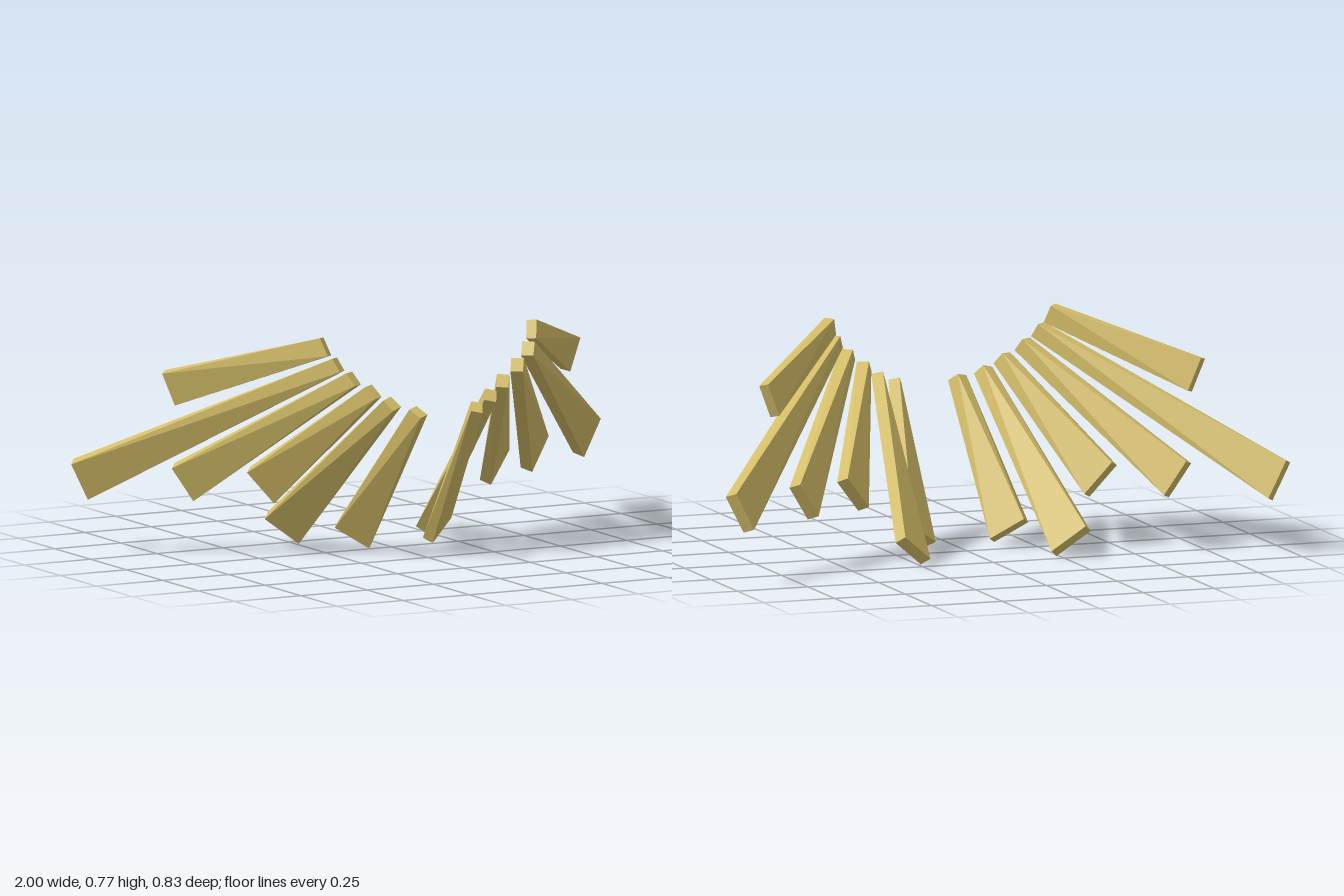
import * as THREE from 'three';
import { ConvexGeometry } from 'three/addons/geometries/ConvexGeometry.js';

const V = (a) => new THREE.Vector3(...a);

// Blades of one side, top to bottom: the outer lower corner and the
// lower-to-upper edge vector at the root and at the tip, plus thickness.
const BLADES = [
  { root: [0.393, 0.712, 0.279], rootEdge: [0.016, 0.058, -0.025], tip: [0.746, 0.515, -0.133], tipEdge: [0.043, 0.109, -0.009], thick: 0.034 },
  { root: [0.365, 0.661, 0.312], rootEdge: [0.017, 0.043, -0.022], tip: [0.936, 0.177, -0.387], tipEdge: [0.063, 0.124, 0], thick: 0.042 },
  { root: [0.317, 0.613, 0.328], rootEdge: [0.018, 0.040, -0.027], tip: [0.639, 0.176, -0.201], tipEdge: [0.072, 0.113, -0.018], thick: 0.042 },
  { root: [0.252, 0.566, 0.347], rootEdge: [0.020, 0.038, -0.031], tip: [0.409, 0.170, -0.064], tipEdge: [0.086, 0.106, -0.030], thick: 0.041 },
  { root: [0.194, 0.525, 0.368], rootEdge: [0.020, 0.032, -0.033], tip: [0.240, 0.002, -0.204], tipEdge: [0.105, 0.085, -0.043], thick: 0.040 },
  { root: [0.117, 0.501, 0.414], rootEdge: [0.021, 0.026, -0.038], tip: [0.120, 0.015, 0.064], tipEdge: [0.100, 0.069, -0.055], thick: 0.038 },
];

// Tapered slab: a rectangle across the axis at each end, joined by flat faces
function bladeGeometry({ root, rootEdge, tip, tipEdge, thick }, side) {
  const points = [];
  const axis = V(tip).addScaledVector(V(tipEdge), 0.5).sub(V(root)).addScaledVector(V(rootEdge), -0.5);
  for (const [corner, edge] of [[root, rootEdge], [tip, tipEdge]]) {
    const inward = V(edge).cross(axis).setLength(thick);
    for (const up of [0, 1]) for (const depth of [0, 1]) {
      const p = V(corner).addScaledVector(V(edge), up).addScaledVector(inward, depth);
      p.x *= side;
      points.push(p);
    }
  }
  return new ConvexGeometry(points);
}

export function createModel() {
  const model = new THREE.Group();
  model.name = 'bladeFan';
  const material = new THREE.MeshStandardMaterial({ color: 0xd4bd68, flatShading: true });

  // Mirrored fans on both sides
  for (const [name, side] of [['left', 1], ['right', -1]]) {
    const fan = new THREE.Group();
    fan.name = `${name}Fan`;
    BLADES.forEach((blade, i) => {
      const mesh = new THREE.Mesh(bladeGeometry(blade, side), material);
      mesh.name = `${name}Blade${i + 1}`;
      fan.add(mesh);
    });
    model.add(fan);
  }
  return model;
}
